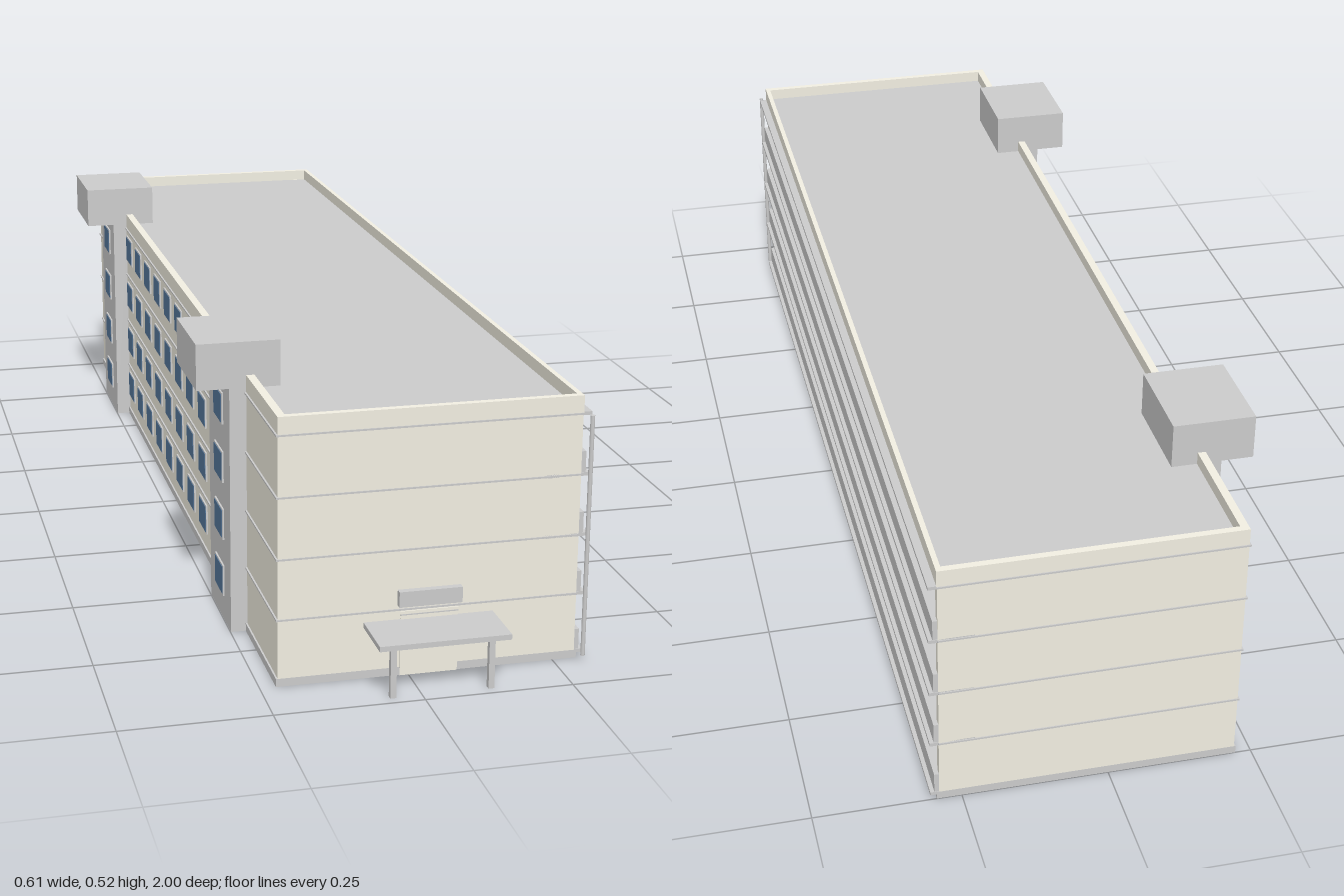
import * as THREE from 'three';

const mat = (color) => new THREE.MeshStandardMaterial({ color });

export function createModel() {
  const model = new THREE.Group();
  const grey = mat(0xcccccc), cream = mat(0xf2efe2), blue = mat(0x56789c), dark = mat(0x484848);

  // Box given by its min and max on each axis
  function box(name, material, x0, x1, y0, y1, z0, z1) {
    const mesh = new THREE.Mesh(new THREE.BoxGeometry(x1 - x0, y1 - y0, z1 - z0), material);
    mesh.position.set((x0 + x1) / 2, (y0 + y1) / 2, (z0 + z1) / 2);
    mesh.name = name;
    model.add(mesh);
    return mesh;
  }

  const back = -1, front = 0.9, left = 0.288, right = -0.22;
  const wallX = 0.23, wellX = 0.13, roofY = 0.438, top = 0.46;
  const floors = [0.012, 0.116, 0.22, 0.325];
  const wells = [[-0.792, -0.676], [0.574, 0.69]];

  // Plinth and main block, with two stairwells open to the galleries
  box('plinth', grey, right - 0.003, 0.292, 0, 0.014, back, front);
  box('mainBlock', cream, right, wellX, 0.014, roofY - 0.008, back, front);
  [[back, wells[0][0]], [wells[0][1], wells[1][0]], [wells[1][1], front]].forEach(([z0, z1]) =>
    box('galleryWall', cream, wellX, wallX, 0.014, roofY - 0.008, z0, z1));
  box('endWallBack', cream, wallX, left, 0.014, roofY, back, back + 0.014);
  box('endWallFront', cream, wallX, left, 0.014, roofY, front - 0.014, front);

  // Roof with a raised rim
  box('roof', grey, right + 0.002, left - 0.002, roofY - 0.008, roofY, back + 0.002, front - 0.002);
  box('parapetRight', cream, right, right + 0.014, roofY - 0.008, top, back, front);
  box('parapetLeft', cream, left - 0.008, left + 0.001, roofY - 0.008, top, back, front);
  box('parapetBack', cream, right, left, roofY - 0.008, top, back, back + 0.012);
  box('parapetFront', cream, right, left, roofY - 0.008, top, front - 0.012, front);

  // Thin floor bands around the block and gallery slabs
  [...floors.slice(1), 0.429].forEach((y) => {
    box('floorBand', grey, right - 0.003, left, y - 0.0015, y + 0.0015, back - 0.002, front + 0.002);
  });
  [...floors, 0.429].forEach((y) =>
    box('gallerySlab', grey, wallX - 0.002, 0.303, y - 0.003, y + 0.003, back, front));

  // Gallery balustrades and columns
  floors.forEach((y) => box('balustrade', grey, 0.283, 0.296, y + 0.001, y + 0.039, back + 0.001, front - 0.001));
  for (let i = 0; i < 16; i++) {
    const z = 0.81 - i * 0.1189;
    box('galleryColumn', grey, 0.27, 0.284, 0.014, 0.43, z - 0.004, z + 0.004);
  }

  // Stairwell lining and flights on every storey
  wells.forEach(([z0, z1]) => {
    box('stairwellBack', grey, wellX, wellX + 0.002, 0.014, 0.43, z0, z1);
    const mid = (z0 + z1) / 2;
    floors.forEach((y) => {
      box('stairLanding', grey, wellX, wellX + 0.03, y + 0.05, y + 0.055, z0, z1);
      for (let s = 0; s < 6; s++) {
        const x = wallX - s * 0.0125;
        box('stairStep', grey, x - 0.013, x, y + s * 0.008, y + (s + 1) * 0.0085, mid + 0.004, z1);
        box('stairStep', grey, x - 0.013, x, y + 0.097 - s * 0.008, y + 0.104 - s * 0.008, z0, mid - 0.004);
      }
    });
  });

  // Ground floor doors in the gallery
  box('galleryDoor', dark, wallX, wallX + 0.004, 0.014, 0.085, 0.126, 0.163);
  box('galleryDoor', dark, wallX - 0.004, wallX + 0.004, 0.014, 0.085, -0.728, -0.69);

  // Window: a frame with a coloured pane on the right-hand face
  function windowAt(x, y, z) {
    box('windowFrame', grey, x - 0.003, x + 0.002, y, y + 0.056, z - 0.035, z + 0.035);
    box('windowPane', blue, x - 0.004, x, y + 0.003, y + 0.053, z - 0.031, z + 0.031);
  }
  const columns = [-0.815];
  for (let i = 0; i < 9; i++) columns.push(-0.55 + i * 0.1189);
  floors.forEach((y) => columns.forEach((z) => windowAt(right, y + 0.034, z)));

  // Two towers, each with an overhanging roof housing
  [-0.683, 0.58].forEach((z) => {
    box('tower', grey, -0.249, right + 0.001, 0, 0.44, z - 0.087, z + 0.087);
    box('towerHousing', grey, -0.305, -0.161, 0.438, 0.518, z - 0.087, z + 0.087);
    floors.forEach((y) => windowAt(-0.249, y + 0.034, z));
  });

  // Entrance: door, sign board and canopy on two posts
  box('entranceDoor', cream, -0.015, 0.083, 0.0, 0.113, front - 0.002, front + 0.002);
  box('doorHead', grey, -0.015, 0.083, 0.106, 0.108, front, front + 0.003);
  box('signBoard', grey, -0.02, 0.087, 0.124, 0.151, front, front + 0.012);
  box('canopy', grey, -0.077, 0.143, 0.09, 0.099, front, 1);
  [-0.049, 0.116].forEach((x) => box('canopyPost', grey, x - 0.005, x + 0.005, 0, 0.09, 0.974, 0.984));

  // Downpipe at the gallery corner
  const pipe = new THREE.Mesh(new THREE.CylinderGeometry(0.004, 0.004, 0.42, 8), grey);
  pipe.position.set(0.298, 0.22, 0.915);
  pipe.name = 'downpipe';
  model.add(pipe);

  return model;
}
